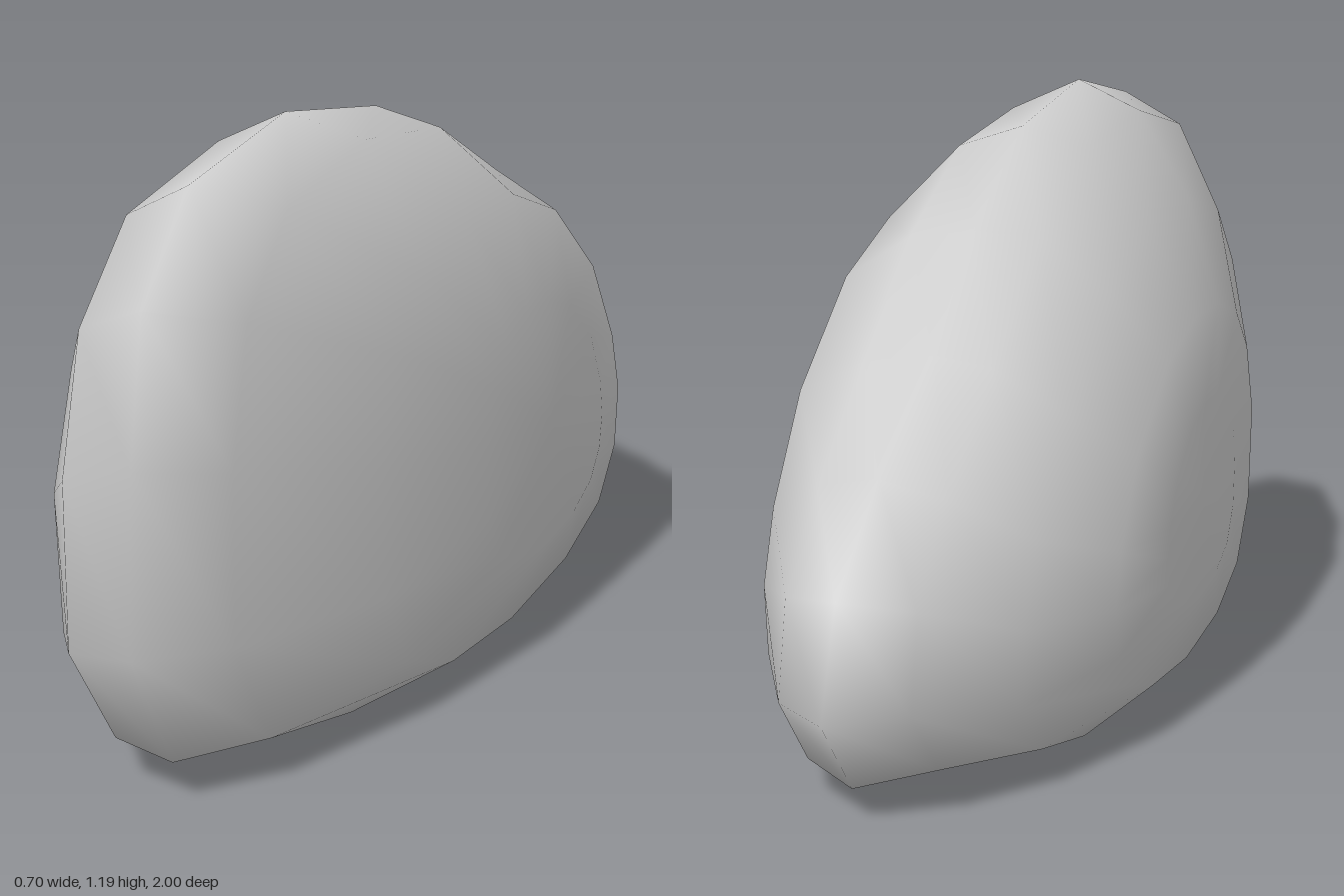
import * as THREE from 'three';

// Main outline in the lengthwise plane (z, y): from the nose over the top to the tail and back along the base
const OUTLINE = [
  [1, 0.34], [0.98, 0.68], [0.93, 0.95], [0.77, 1.13], [0.42, 1.19], [0.05, 1.13],
  [-0.24, 0.96], [-0.46, 0.76], [-0.73, 0.59], [-0.93, 0.42], [-1, 0.22], [-0.87, 0.06],
  [-0.5, 0], [0, 0], [0.49, 0], [0.87, 0.09],
];
const HALF_HEIGHT = 0.595;

// Slices from -x to +x: x, back z, front z, bottom, top, how far the outline is rounded off
const SLICES = [
  [-0.355, -0.25, 0.28, 0.2, 0.6, 0.6],
  [-0.32, -0.49, 0.57, 0.05, 0.77, 0.6],
  [-0.22, -0.75, 0.84, -0.02, 0.97, 0.4],
  [-0.09, -0.94, 1.01, 0, 1.135, 0.2],
  [0.04, -1, 1, 0, 1.19, 0],
  [0.16, -0.93, 0.86, 0, 1.14, 0.15],
  [0.28, -0.74, 0.52, 0.03, 0.975, 0.5],
  [0.342, -0.46, 0.18, 0.2, 0.74, 0.6],
];

// Fit the outline to a slice, blending it towards an ellipse near the flanks
function ring([x, back, front, bottom, top, roundness]) {
  return OUTLINE.map(([z, y]) => {
    const p = new THREE.Vector2(z, y / HALF_HEIGHT - 1);
    p.lerp(p.clone().normalize(), roundness);
    return [
      x,
      Math.max(0, THREE.MathUtils.lerp(bottom, top, (p.y + 1) / 2)),
      THREE.MathUtils.lerp(back, front, (p.x + 1) / 2),
    ];
  });
}

function stoneGeometry() {
  const rings = SLICES.map(ring);
  const n = OUTLINE.length;
  const positions = rings.flat(2);
  const index = [];

  // Skin between neighbouring slices
  for (let i = 0; i < rings.length - 1; i++) {
    for (let j = 0; j < n; j++) {
      const a = i * n + j;
      const b = i * n + ((j + 1) % n);
      index.push(a, a + n, b, b, a + n, b + n);
    }
  }

  // Closed flanks
  const minusX = rings.length * n;
  const plusX = minusX + 1;
  const last = minusX - n;
  positions.push(-0.356, 0.4, 0.02, 0.347, 0.47, -0.14);
  for (let j = 0; j < n; j++) {
    const k = (j + 1) % n;
    index.push(minusX, j, k, plusX, last + k, last + j);
  }

  const geometry = new THREE.BufferGeometry();
  geometry.setAttribute('position', new THREE.Float32BufferAttribute(positions, 3));
  geometry.setIndex(index);
  geometry.computeVertexNormals();
  return geometry;
}

export function createModel() {
  const group = new THREE.Group();
  group.name = 'rock';
  const stone = new THREE.Mesh(
    stoneGeometry(),
    new THREE.MeshStandardMaterial({ color: 0xcccccc }),
  );
  stone.name = 'stone';
  group.add(stone);
  return group;
}
